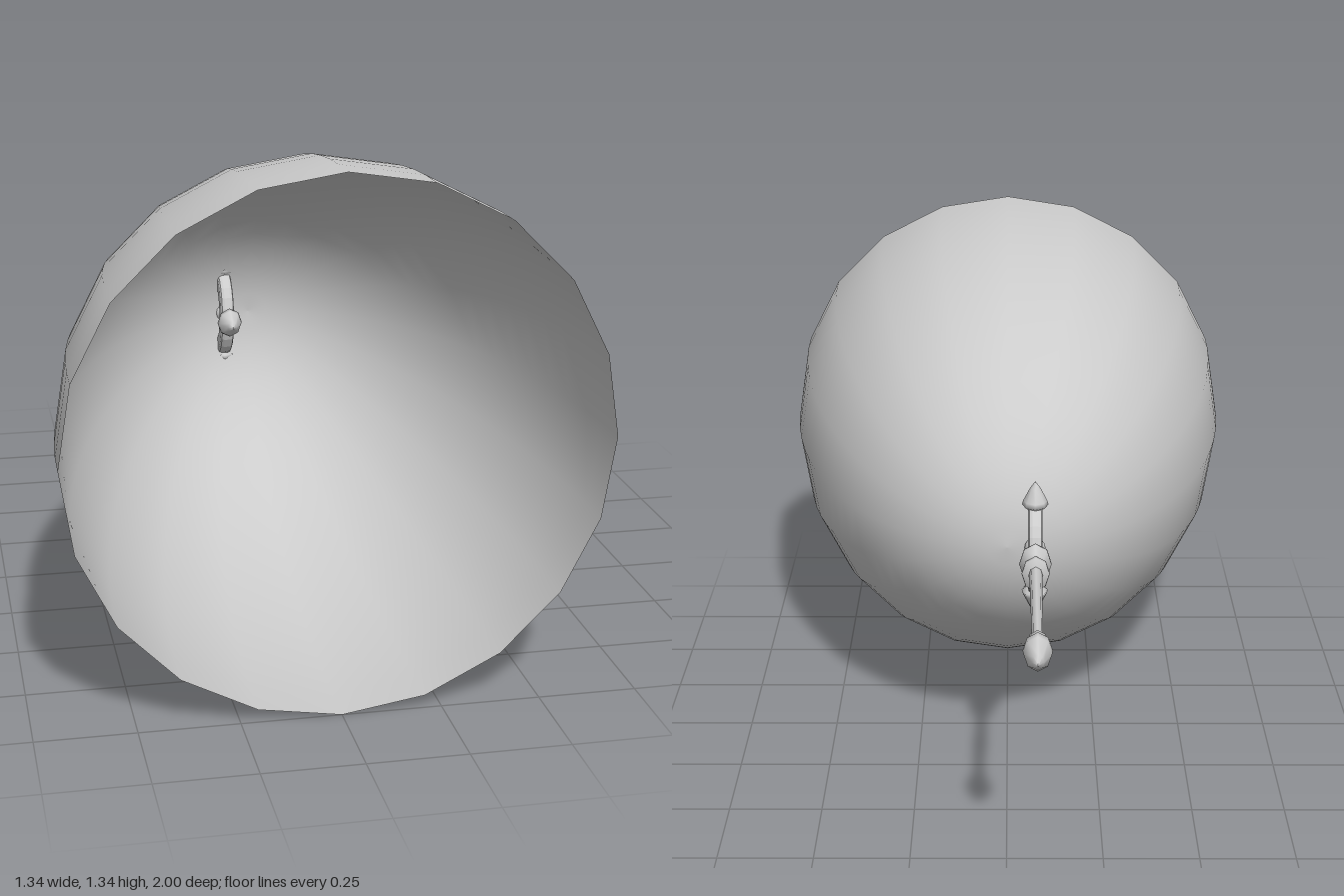
import * as THREE from 'three';

const V = (r, h) => new THREE.Vector2(r, h);
const CX = -0.075, CY = 0.674, CZ = -0.275; // centre of the ring

export function createModel() {
  const root = new THREE.Group();
  const mat = new THREE.MeshStandardMaterial({ color: 0xcccccc });
  const thin = new THREE.MeshStandardMaterial({ color: 0xcccccc, side: THREE.DoubleSide });
  const add = (parent, name, geo, m = mat) => {
    const mesh = new THREE.Mesh(geo, m);
    mesh.name = name;
    parent.add(mesh);
    return mesh;
  };

  // open half-ellipsoid shell, apex towards the back
  const profile = [];
  for (let i = 0; i <= 20; i++) {
    const a = (i / 20) * Math.PI / 2;
    profile.push(V(0.672 * Math.cos(a), 1.272 * Math.sin(a)));
  }
  const dome = add(root, 'dome', new THREE.LatheGeometry(profile, 20).rotateX(-Math.PI / 2), thin);
  dome.position.set(0, 0.672, 1);

  // sceptre: local +y runs along the shaft, slightly flattened sideways
  const sceptre = new THREE.Group();
  sceptre.name = 'sceptre';
  sceptre.position.set(CX, CY, CZ);
  sceptre.rotation.x = -Math.PI / 2;
  root.add(sceptre);

  const turned = (name, pts) =>
    add(sceptre, name, new THREE.LatheGeometry(pts.map(p => V(...p)), 8).scale(0.74, 1, 1));

  turned('collar', [[0, 0.075], [0.03, 0.085], [0.034, 0.1], [0.058, 0.112], [0.057, 0.12],
    [0.04, 0.145], [0.036, 0.165], [0.05, 0.178], [0.047, 0.185], [0.025, 0.192]]);
  turned('shaft', [[0.024, 0.18], [0.021, 0.3], [0.019, 0.6]]);
  turned('finial', [[0.019, 0.585], [0.035, 0.6], [0.032, 0.62], [0.037, 0.632],
    [0.049, 0.642], [0.046, 0.66], [0.02, 0.705], [0, 0.725]]);

  // flat ring with a bead in the middle
  const outline = new THREE.Shape();
  outline.absellipse(0, 0, 0.1, 0.125, 0, Math.PI * 2);
  const hole = new THREE.Path();
  hole.absellipse(0, 0, 0.05, 0.07, 0, Math.PI * 2, true);
  outline.holes.push(hole);
  const ringGeo = new THREE.ExtrudeGeometry(outline, {
    depth: 0.016, curveSegments: 12, bevelEnabled: true,
    bevelThickness: 0.011, bevelSize: 0.01, bevelOffset: -0.01, bevelSegments: 2,
  }).translate(0, 0, -0.008).rotateY(Math.PI / 2);
  const ring = add(root, 'ring', ringGeo);
  ring.position.set(CX, CY, CZ);
  const bead = add(root, 'bead', new THREE.SphereGeometry(0.028, 12, 8));
  bead.position.set(CX, CY, CZ);

  // three pointed barbs: up, down and forward
  const barbPts = [[0, 0.1], [0.024, 0.112], [0.042, 0.124], [0.038, 0.136], [0.016, 0.172], [0, 0.19]];
  [['upperBarb', 0], ['frontBarb', Math.PI / 2], ['lowerBarb', Math.PI]].forEach(([name, angle]) => {
    const barb = add(root, name,
      new THREE.LatheGeometry(barbPts.map(p => V(...p)), 8).scale(0.84, 1, 1));
    barb.position.set(CX, CY, CZ);
    barb.rotation.x = angle;
  });

  return root;
}
